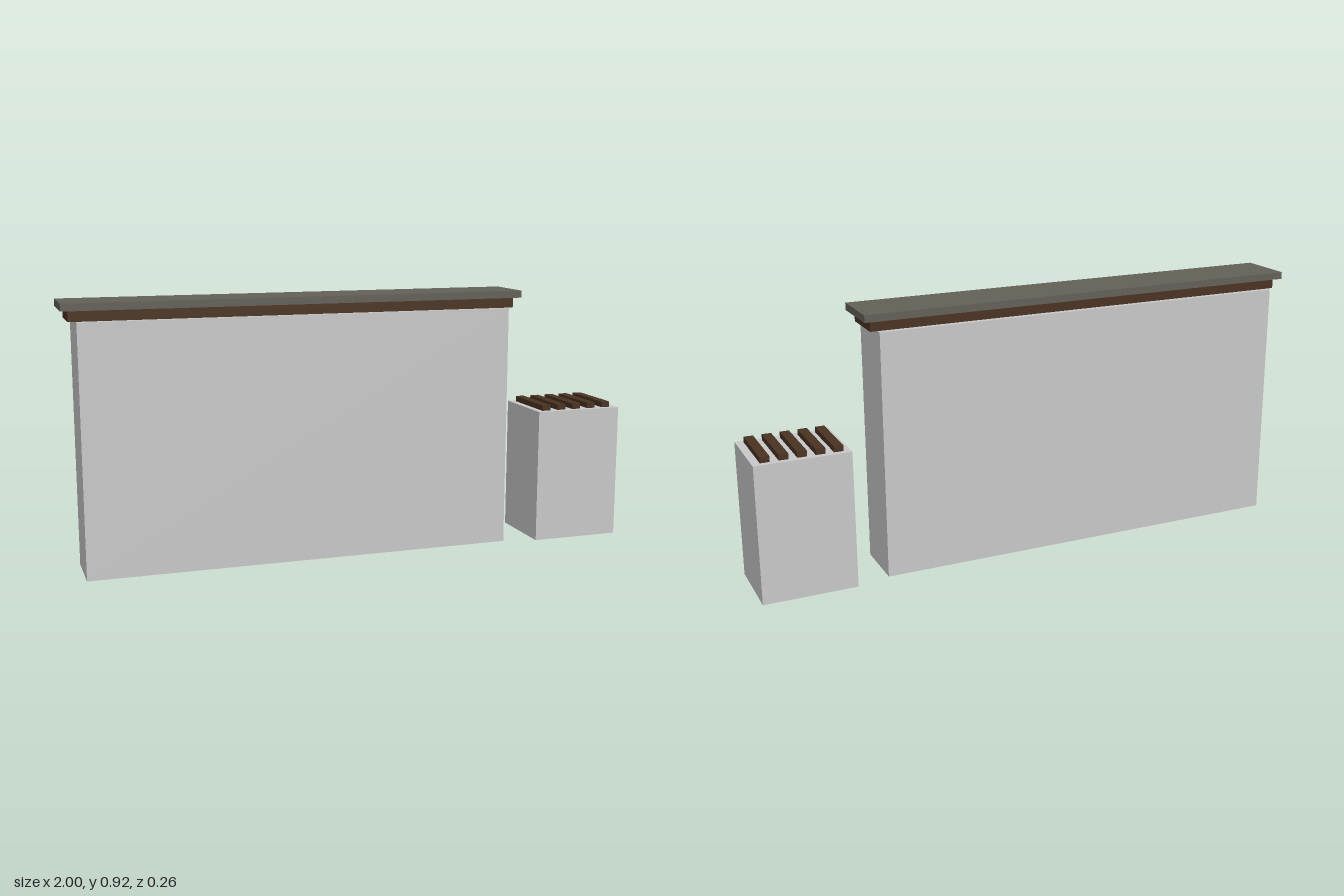
import * as THREE from 'three';

const plaster = new THREE.MeshStandardMaterial({ name: 'plaster', color: 0xc8c8c8 });
const wood = new THREE.MeshStandardMaterial({ name: 'dark wood', color: 0x4a3322 });
const slate = new THREE.MeshStandardMaterial({ name: 'slate', color: 0x626056 });

// Box centred on x and z = 0, resting on height y
function block(name, material, x, y, width, height, depth) {
  const mesh = new THREE.Mesh(new THREE.BoxGeometry(width, height, depth), material);
  mesh.name = name;
  mesh.position.set(x, y + height / 2, 0);
  return mesh;
}

export function createModel() {
  const model = new THREE.Group();
  model.name = 'wallAndVent';

  // Long wall with a timber beam and an overhanging coping
  const wall = new THREE.Group();
  wall.name = 'wall';
  const wallX = -0.196;
  wall.add(
    block('wallBody', plaster, wallX, 0, 1.51, 0.857, 0.2),
    block('beam', wood, wallX, 0.857, 1.56, 0.036, 0.16),
    block('coping', slate, wallX, 0.893, 1.608, 0.025, 0.2)
  );

  // Low pillar topped with five slats
  const pillar = new THREE.Group();
  pillar.name = 'pillar';
  const pillarX = 0.838;
  pillar.add(block('pillarBody', plaster, pillarX, 0, 0.324, 0.48, 0.26));
  for (let i = -2; i <= 2; i++) {
    pillar.add(block('slat', wood, pillarX - 0.002 + i * 0.0605, 0.48, 0.032, 0.02, 0.22));
  }

  model.add(wall, pillar);
  return model;
}
